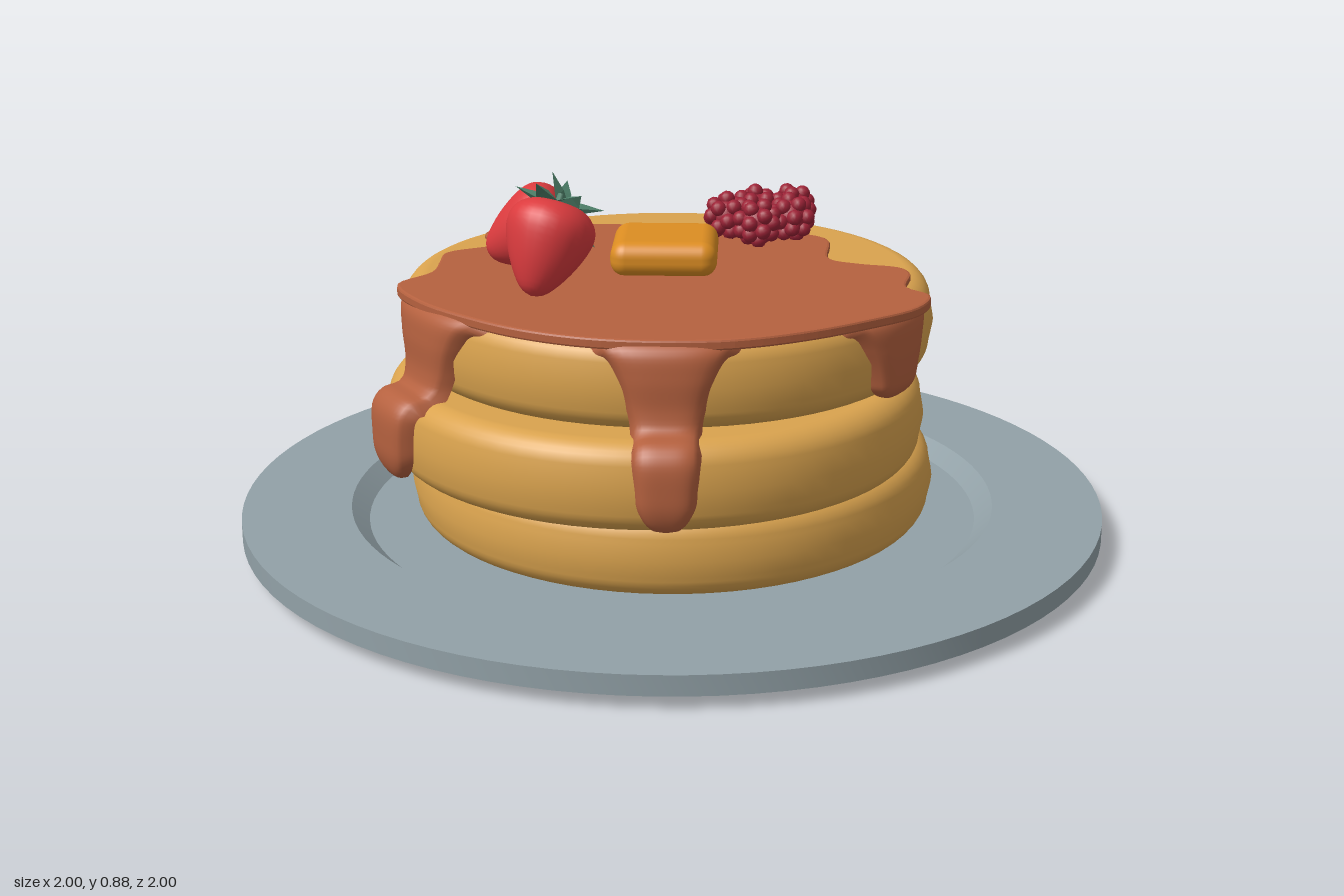
import * as THREE from 'three';
import { toCreasedNormals } from 'three/addons/utils/BufferGeometryUtils.js';
import { RoundedBoxGeometry } from 'three/addons/geometries/RoundedBoxGeometry.js';

const material = (name, color, side = THREE.FrontSide) => {
  const m = new THREE.MeshStandardMaterial({ color, side });
  m.name = name;
  return m;
};
const plateGrey = material('plate grey', 0x92a1a7);
const batter = material('golden batter', 0xdaa34e);
const syrupBrown = material('syrup brown', 0xb5613f, THREE.DoubleSide);
const butterYellow = material('butter yellow', 0xdc8d22);
const strawberryRed = material('strawberry red', 0xdb3b3e);
const leafGreen = material('leaf green', 0x4f826b, THREE.DoubleSide);
const raspberryRed = material('raspberry red', 0x9c2236);

function add(parent, name, geometry, mat, x = 0, y = 0, z = 0) {
  const mesh = new THREE.Mesh(geometry, mat);
  mesh.name = name;
  mesh.position.set(x, y, z);
  parent.add(mesh);
  return mesh;
}
const lathe = (points, segments) =>
  new THREE.LatheGeometry(points.map(([r, y]) => new THREE.Vector2(r, y)), segments);

// Thick disc with a rounded, slightly bulging edge
function pancake(radius, height) {
  const c = 0.055, h = height / 2;
  const pts = [[0, -h]];
  for (let i = 0; i <= 8; i++) {
    const a = -Math.PI / 2 + (i / 8) * Math.PI / 2;
    pts.push([radius - 0.008 - c + c * Math.cos(a), -h + c + c * Math.sin(a)]);
  }
  pts.push([radius, 0]);
  for (let i = 0; i <= 8; i++) {
    const a = (i / 8) * Math.PI / 2;
    pts.push([radius - 0.008 - c + c * Math.cos(a), h - c + c * Math.sin(a)]);
  }
  pts.push([0, h]);
  return lathe(pts, 72);
}

// Syrup run: path points are [radius, height, half width], swept around the stack
function drip(angle, path, widthScale) {
  const curve = new THREE.CatmullRomCurve3(path.map(p => new THREE.Vector3(...p)));
  const NV = 48, NU = 16, pos = [], index = [];
  for (let j = 0; j <= NV; j++) {
    const t = j / NV;
    const p = curve.getPointAt(t), d = curve.getTangentAt(t);
    const len = Math.hypot(d.x, d.y);
    const nr = -d.y / len, ny = d.x / len;
    const end = Math.max(0, (t - 0.86) / 0.14);
    const round = Math.sqrt(Math.max(0, 1 - end * end));
    for (let i = 0; i <= NU; i++) {
      const u = -1 + 2 * i / NU;
      const sink = -0.035 * (1 - round * Math.sqrt(1 - u ** 4));
      const r = p.x + nr * sink;
      const a = angle + u * p.z * widthScale * round / p.x;
      pos.push(r * Math.sin(a), p.y + ny * sink, r * Math.cos(a));
    }
  }
  for (let j = 0; j < NV; j++) for (let i = 0; i < NU; i++) {
    const a = j * (NU + 1) + i, b = a + NU + 1;
    index.push(a, b, a + 1, b, b + 1, a + 1);
  }
  const g = new THREE.BufferGeometry();
  g.setAttribute('position', new THREE.Float32BufferAttribute(pos, 3));
  g.setIndex(index);
  g.computeVertexNormals();
  return g;
}

// Pointed leaf, folded along its rib and lifting at the tip
function leaf(length, width) {
  const g = new THREE.BufferGeometry();
  g.setAttribute('position', new THREE.Float32BufferAttribute([
    0, 0.004, 0, length * 0.5, -0.004, width, length * 0.5, 0.014, 0,
    length * 0.5, -0.004, -width, length, 0.012, 0], 3));
  g.setIndex([0, 1, 2, 0, 2, 3, 1, 4, 2, 2, 4, 3]);
  const flat = g.toNonIndexed();
  flat.computeVertexNormals();
  return flat;
}

function strawberry(crown) {
  const group = new THREE.Group();
  group.name = 'strawberry';
  const outline = new THREE.SplineCurve([[0, -0.115], [0.032, -0.1], [0.07, -0.045], [0.096, 0.02],
    [0.092, 0.062], [0.06, 0.09], [0, 0.094]].map(p => new THREE.Vector2(...p)));
  const pts = outline.getPoints(24).map(p => [Math.max(0, p.x), p.y]);
  pts[0][0] = pts[24][0] = 0;
  add(group, 'strawberryBody', lathe(pts, 28), strawberryRed);
  for (let i = 0; i < 6; i++) {
    const l = add(group, 'strawberryLeaf', leaf(0.1, 0.027), leafGreen, 0, 0.096, 0);
    l.rotation.y = i * Math.PI / 3;
  }
  add(group, 'strawberryStem', new THREE.CylinderGeometry(0.007, 0.01, 0.025, 8), leafGreen, 0, 0.106, 0);
  group.quaternion.setFromUnitVectors(new THREE.Vector3(0, 1, 0), new THREE.Vector3(...crown).normalize());
  return group;
}

// Cluster of small beads in staggered rings
function raspberry() {
  const group = new THREE.Group();
  group.name = 'raspberry';
  add(group, 'raspberryCore', new THREE.SphereGeometry(0.043, 14, 10), raspberryRed);
  const bead = new THREE.SphereGeometry(0.019, 10, 8);
  [[0, 1], [0.9, 5], [1.55, 8], [2.2, 6], [Math.PI, 1]].forEach(([polar, count], row) => {
    for (let i = 0; i < count; i++) {
      const a = (i + row * 0.5) / count * Math.PI * 2, r = 0.042 * Math.sin(polar);
      add(group, 'raspberryBead', bead, raspberryRed, r * Math.cos(a), 0.042 * Math.cos(polar), r * Math.sin(a));
    }
  });
  return group;
}

export function createModel() {
  const model = new THREE.Group();
  model.name = 'pancakeStack';

  // Plate with raised rim, sunken well and foot
  add(model, 'plate', toCreasedNormals(lathe([[0, 0], [0.52, 0], [0.545, 0.03], [1, 0.03],
    [1, 0.075], [0.75, 0.075], [0.71, 0.04], [0, 0.04]], 96), 0.5), plateGrey);

  // Three uneven pancakes
  add(model, 'bottomPancake', pancake(0.61, 0.185), batter, 0, 0.132, -0.025);
  const middle = add(model, 'middlePancake', pancake(0.61, 0.195), batter, -0.035, 0.325, 0.1);
  middle.rotation.x = -0.014;
  add(model, 'topPancake', pancake(0.607, 0.195), batter, -0.01, 0.522, 0.012);

  // Syrup pool on top
  const outline = [[-0.45, -0.3], [-0.3, -0.33], [-0.2, -0.375], [-0.03, -0.36], [0.06, -0.385], [0.14, -0.35],
    [0.24, -0.32], [0.36, -0.25], [0.365, -0.05], [0.43, -0.01], [0.52, 0.02], [0.54, 0.07], [0.525, 0.19],
    [0.57, 0.25], [0.54, 0.35], [0.43, 0.45], [0.29, 0.545], [0.15, 0.605], [0, 0.622], [-0.15, 0.605],
    [-0.29, 0.55], [-0.41, 0.465], [-0.53, 0.345], [-0.6, 0.2], [-0.54, 0.1], [-0.535, 0], [-0.53, -0.08],
    [-0.43, -0.15], [-0.4, -0.2], [-0.46, -0.25]];
  const loop = new THREE.CatmullRomCurve3(outline.map(([x, z]) => new THREE.Vector3(x, z, 0)), true);
  const shape = new THREE.Shape(loop.getPoints(150).slice(0, -1).map(p => new THREE.Vector2(p.x, p.y)));
  const pool = new THREE.ExtrudeGeometry(shape, {
    depth: 0.014, bevelThickness: 0.005, bevelSize: 0.006, bevelOffset: -0.006, bevelSegments: 2 });
  pool.rotateX(Math.PI / 2);
  add(model, 'syrupPool', pool, syrupBrown, 0, 0.625, 0);

  // Syrup runs: two reach the middle pancake, one stops at the top one
  const upper = [[0.53, 0.628, 0.19], [0.59, 0.627, 0.175], [0.622, 0.605, 0.15], [0.632, 0.55, 0.115]];
  const long = [...upper, [0.633, 0.48, 0.09], [0.645, 0.445, 0.08], [0.69, 0.434, 0.078],
    [0.716, 0.405, 0.078], [0.722, 0.33, 0.072], [0.715, 0.24, 0.066]];
  const short = [...upper, [0.632, 0.49, 0.09], [0.627, 0.425, 0.075]];
  [['frontDrip', 0.035, long, 0.95], ['rightSyrupDrip', -0.99, long, 1.2], ['leftSyrupDrip', 0.98, short, 1]]
    .forEach(([name, angle, path, width]) =>
      add(model, name, drip(angle, path, width), syrupBrown, -0.01, 0, 0.012));

  // Toppings
  add(model, 'butter', new RoundedBoxGeometry(0.24, 0.08, 0.24, 5, 0.035), butterYellow, -0.015, 0.665, 0.015);
  [[[-0.315, 0.715, 0.05], [0.86, 0.45, 0.05]], [[-0.262, 0.735, 0.268], [0.25, 0.86, -0.42]]]
    .forEach(([position, crown]) => {
      const berry = strawberry(crown);
      berry.position.set(...position);
      model.add(berry);
    });
  [[0.19, -0.33], [0.28, -0.345], [0.125, -0.25], [0.275, -0.24], [0.195, -0.18]].forEach(([x, z], i) => {
    const berry = raspberry();
    berry.position.set(x, 0.682, z);
    berry.rotation.set(0.3 * i, i * 1.3, 0.2 * i);
    model.add(berry);
  });
  return model;
}
